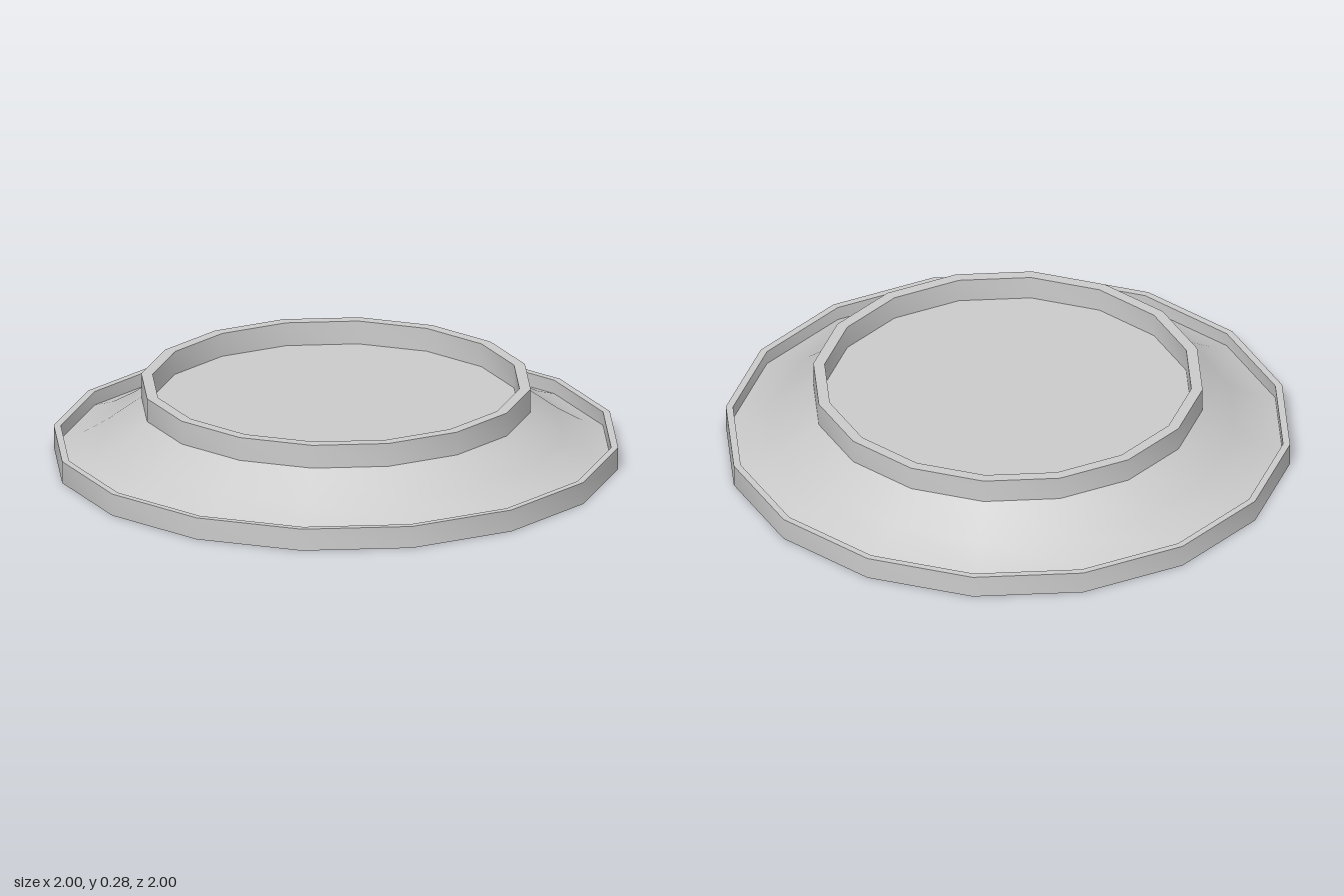
import * as THREE from 'three';
import { toCreasedNormals } from 'three/addons/utils/BufferGeometryUtils.js';

const SIDES = 16;

export function createModel() {
  const model = new THREE.Group();
  model.name = 'roundBase';
  const material = new THREE.MeshStandardMaterial({ color: 0xcccccc, side: THREE.DoubleSide });

  const add = (name, geometry) => {
    const mesh = new THREE.Mesh(geometry, material);
    mesh.name = name;
    model.add(mesh);
    return mesh;
  };
  const lathe = (points) =>
    new THREE.LatheGeometry(points.map(([r, y]) => new THREE.Vector2(r, y)), SIDES);
  // Closed ring of rectangular section, sharp at its rims and smooth around
  const ring = (inner, outer, bottom, top) =>
    toCreasedNormals(lathe([
      [inner, bottom], [outer, bottom], [outer, top], [inner, top], [inner, bottom],
    ]), 0.6);

  // Low outer band and raised inner collar
  add('outerRim', ring(0.975, 1, 0, 0.08));
  add('collar', ring(0.65, 0.69, 0.2, 0.285));

  // Thin, slightly concave flare joining the two rings, open underneath
  add('flare', lathe([[0.975, 0.03], [0.9, 0.056], [0.81, 0.11], [0.69, 0.2]]));

  // Recessed plate inside the collar
  const plate = add('recessedPlate', new THREE.CircleGeometry(0.65, SIDES));
  plate.rotation.x = -Math.PI / 2;
  plate.position.y = 0.2;

  return model;
}
